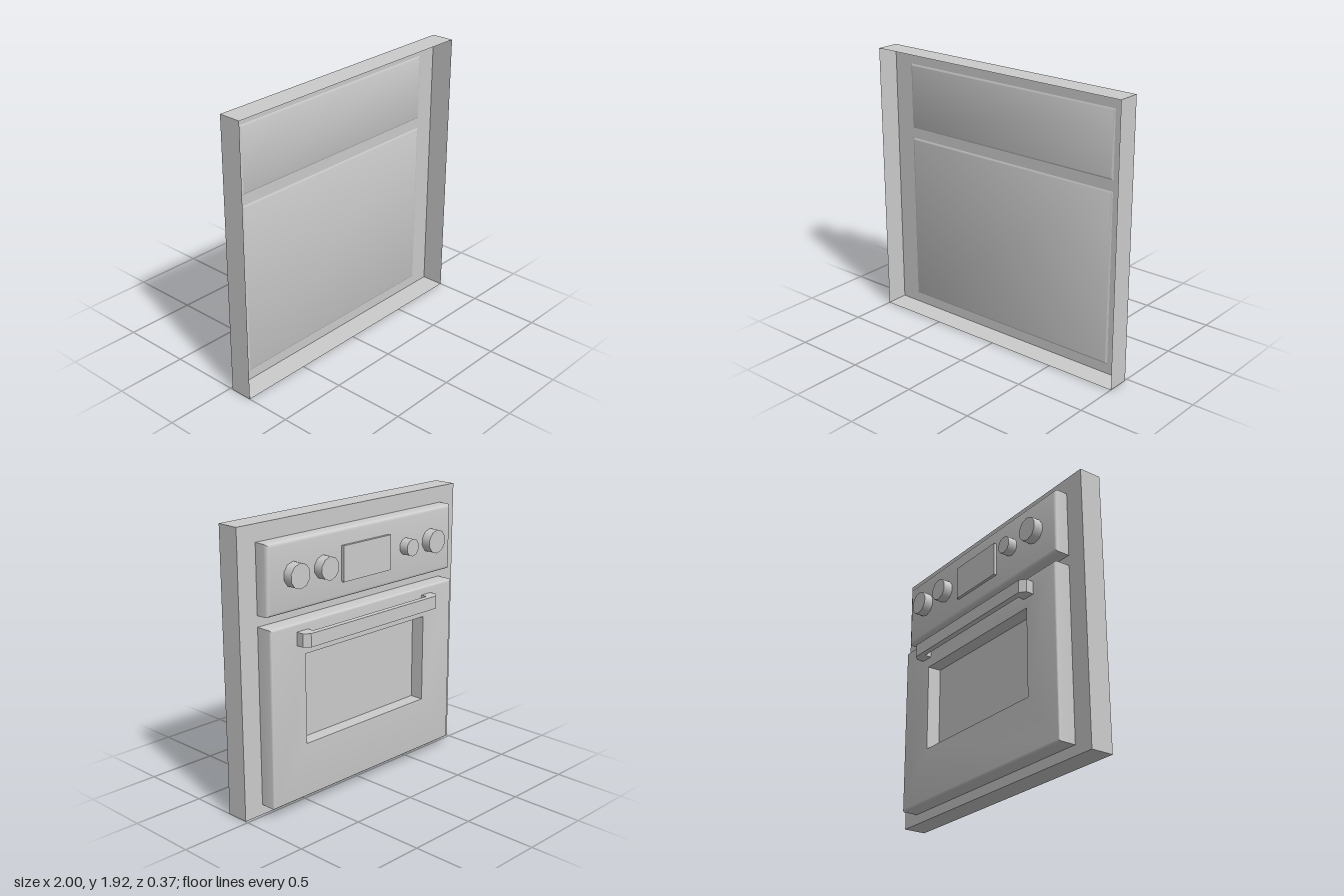
import * as THREE from 'three';
import { toCreasedNormals } from 'three/addons/utils/BufferGeometryUtils.js';

const material = new THREE.MeshStandardMaterial({ color: 0xcccccc });
const sheetMaterial = new THREE.MeshStandardMaterial({ color: 0xcccccc, side: THREE.DoubleSide });

// Joins rectangles [halfWidth, bottom, top, z], listed from back to front
function loftRects(rects, capStart, capEnd) {
  const points = [];
  const index = [];
  for (const [w, y0, y1, z] of rects) {
    points.push(-w, y0, z, w, y0, z, w, y1, z, -w, y1, z);
  }
  for (let r = 0; r < rects.length - 1; r++) {
    for (let i = 0; i < 4; i++) {
      const a = r * 4 + i;
      const b = r * 4 + (i + 1) % 4;
      index.push(a, a + 4, b + 4, a, b + 4, b);
    }
  }
  const e = (rects.length - 1) * 4;
  if (capStart) index.push(0, 1, 2, 0, 2, 3);
  if (capEnd) index.push(e, e + 2, e + 1, e, e + 3, e + 2);
  const geometry = new THREE.BufferGeometry();
  geometry.setAttribute('position', new THREE.Float32BufferAttribute(points, 3));
  geometry.setIndex(index);
  return toCreasedNormals(geometry, 0.6);
}

// Outline of a panel with a rounded front edge and a thin raised back
function panelRects(w, y0, y1, front, bevel) {
  const inset = (d, z) => [w - d, y0 + d, y1 - d, z];
  const rects = [inset(0.012, 0.026), inset(0, 0.02)];
  for (let i = 0; i <= 3; i++) {
    const a = (i / 3) * Math.PI / 2;
    rects.push(inset(bevel * (1 - Math.cos(a)), front + bevel * (1 - Math.sin(a))));
  }
  return rects;
}

export function createModel() {
  const model = new THREE.Group();
  model.name = 'builtInOven';

  function add(name, geometry, x = 0, y = 0, z = 0, mat = material) {
    const mesh = new THREE.Mesh(geometry, mat);
    mesh.name = name;
    mesh.position.set(x, y, z);
    model.add(mesh);
    return mesh;
  }

  // Surround: a shallow tray open on its +z side
  add('surround', loftRects([[1, 0, 1.925, 0.18], [1, 0, 1.925, 0.02]], false, true), 0, 0, 0, sheetMaterial);

  // Control panel with its display
  add('controlPanel', loftRects(panelRects(0.855, 1.35, 1.81, -0.08, 0.025), true, true));
  add('display', new THREE.BoxGeometry(0.44, 0.24, 0.03), 0, 1.58, -0.085);

  // Knobs
  for (const [x, r] of [[-0.64, 0.083], [-0.39, 0.06], [0.385, 0.078], [0.64, 0.083]]) {
    const knob = new THREE.CylinderGeometry(r, r, 0.08, 10);
    knob.rotateX(-Math.PI / 2);
    add('knob', knob, x, 1.59, -0.107);
  }

  // Door with a recessed window
  const doorRects = panelRects(0.855, 0.07, 1.275, -0.098, 0.015);
  doorRects.push([0.563, 0.445, 1.06, -0.098], [0.563, 0.445, 1.06, 0]);
  add('door', loftRects(doorRects, true, true));

  // Handle: a bar with chamfered ends, drawn from above and extruded upwards
  const half = [[0.54, 0.145], [0.54, 0.09], [0.635, 0.09], [0.635, 0.152], [0.595, 0.185]];
  const outline = [...half, ...half.map(([x, d]) => [-x, d]).reverse()];
  const handle = new THREE.ExtrudeGeometry(
    new THREE.Shape(outline.map(([x, d]) => new THREE.Vector2(x, d))),
    { depth: 0.09, bevelEnabled: false }
  );
  handle.rotateX(-Math.PI / 2);
  add('handle', handle, 0, 1.13, 0);

  return model;
}
